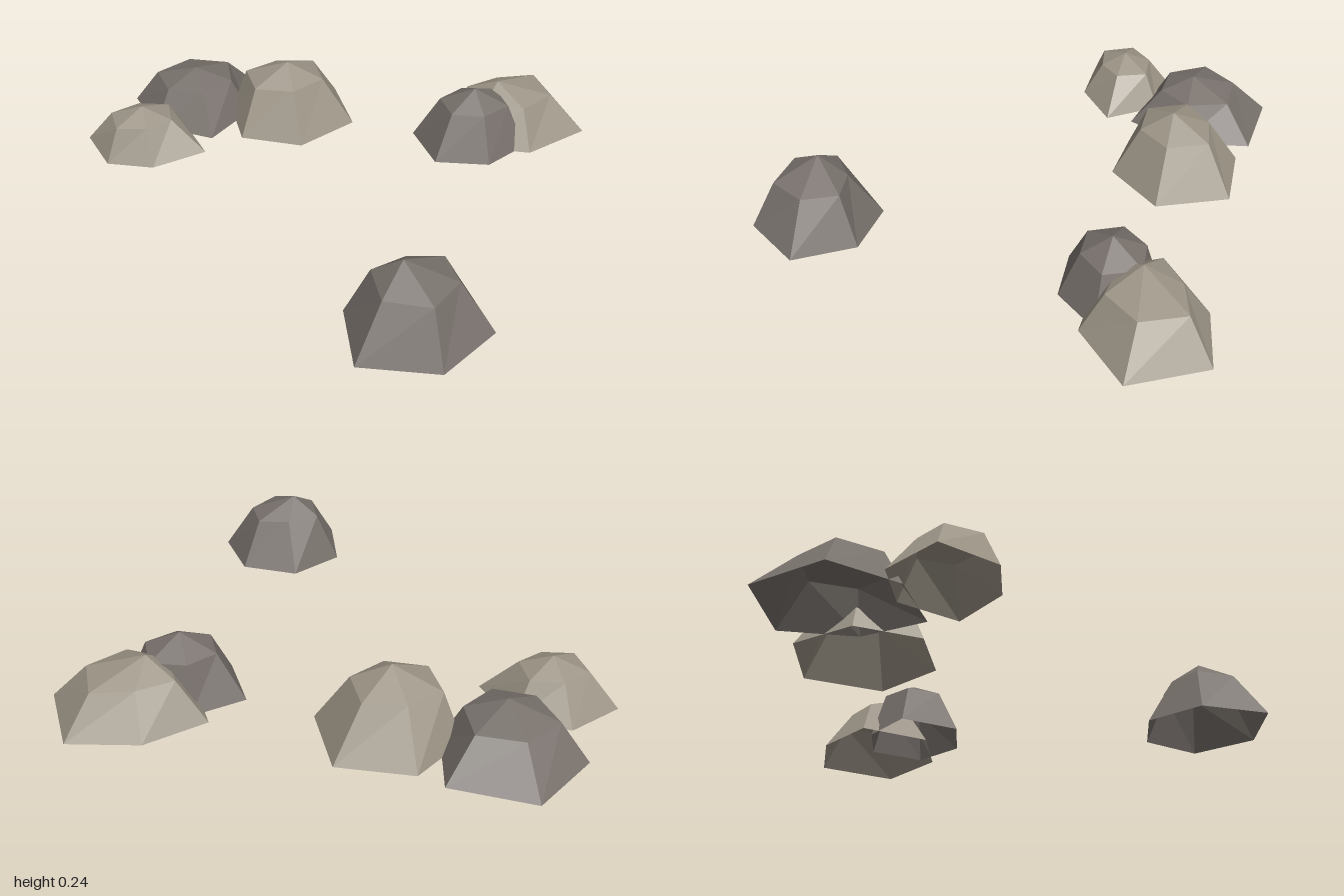
import * as THREE from 'three';

const mat = (name, color) => {
  const m = new THREE.MeshStandardMaterial({ color, flatShading: true, side: THREE.DoubleSide });
  m.name = name;
  return m;
};

// Open-bottomed, six-sided boulder: base ring, shoulder ring and a peak.
// Radii run round from the back (-z) towards +x.
function boulder({ name, centre: [cx, cz], base, shoulder, shoulderY, peak }, material) {
  const pos = [], index = [];
  const ring = (radii, y) => radii.forEach((r, k) => {
    const a = k * Math.PI / 3;
    pos.push(cx + r * Math.sin(a), y, cz - r * Math.cos(a));
  });
  ring(base, 0);
  ring(shoulder, shoulderY);
  pos.push(...peak);
  for (let k = 0; k < 6; k++) {
    const n = (k + 1) % 6;
    index.push(n, k, 6 + k, n, 6 + k, 6 + n); // sloping side
    index.push(6 + n, 6 + k, 12);             // crown
  }
  const g = new THREE.BufferGeometry();
  g.setAttribute('position', new THREE.Float32BufferAttribute(pos, 3));
  g.setIndex(index);
  const flat = g.toNonIndexed();
  flat.computeVertexNormals();
  const mesh = new THREE.Mesh(flat, material);
  mesh.name = name;
  return mesh;
}

export function createModel() {
  const group = new THREE.Group();
  group.name = 'boulders';
  const dark = mat('darkStone', 0x78716c);
  const light = mat('lightStone', 0x9c9486);

  const darkRocks = [
    { name: 'frontBoulder', centre: [-0.074, 0.746], shoulderY: 0.173, peak: [-0.115, 0.24, 0.74],
      base: [0.209, 0.212, 0.243, 0.243, 0.272, 0.225], shoulder: [0.10, 0.13, 0.13, 0.152, 0.155, 0.14] },
    { name: 'backBoulder', centre: [-0.458, -0.714], shoulderY: 0.13, peak: [-0.46, 0.178, -0.70],
      base: [0.286, 0.284, 0.206, 0.254, 0.215, 0.26], shoulder: [0.15, 0.16, 0.14, 0.14, 0.14, 0.16] },
    { name: 'sideSmallBoulder', centre: [0.466, -0.16], shoulderY: 0.163, peak: [0.47, 0.222, -0.155],
      base: [0.159, 0.19, 0.20, 0.18, 0.208, 0.22], shoulder: [0.11, 0.135, 0.13, 0.11, 0.122, 0.122] },
  ];
  const lightRocks = [
    { name: 'backSmallBoulder', centre: [-0.70, -0.49], shoulderY: 0.122, peak: [-0.70, 0.165, -0.49],
      base: [0.19, 0.19, 0.232, 0.164, 0.177, 0.226], shoulder: [0.10, 0.12, 0.11, 0.092, 0.12, 0.122] },
    { name: 'middleBoulder', centre: [-0.15, -0.545], shoulderY: 0.176, peak: [-0.14, 0.24, -0.525],
      base: [0.24, 0.275, 0.266, 0.235, 0.23, 0.22], shoulder: [0.12, 0.155, 0.15, 0.137, 0.15, 0.15] },
    { name: 'sideBoulder', centre: [0.64, -0.238], shoulderY: 0.14, peak: [0.59, 0.195, -0.225],
      base: [0.201, 0.275, 0.293, 0.228, 0.24, 0.257], shoulder: [0.105, 0.165, 0.16, 0.148, 0.14, 0.15] },
  ];
  darkRocks.forEach(r => group.add(boulder(r, dark)));
  lightRocks.forEach(r => group.add(boulder(r, light)));
  return group;
}
